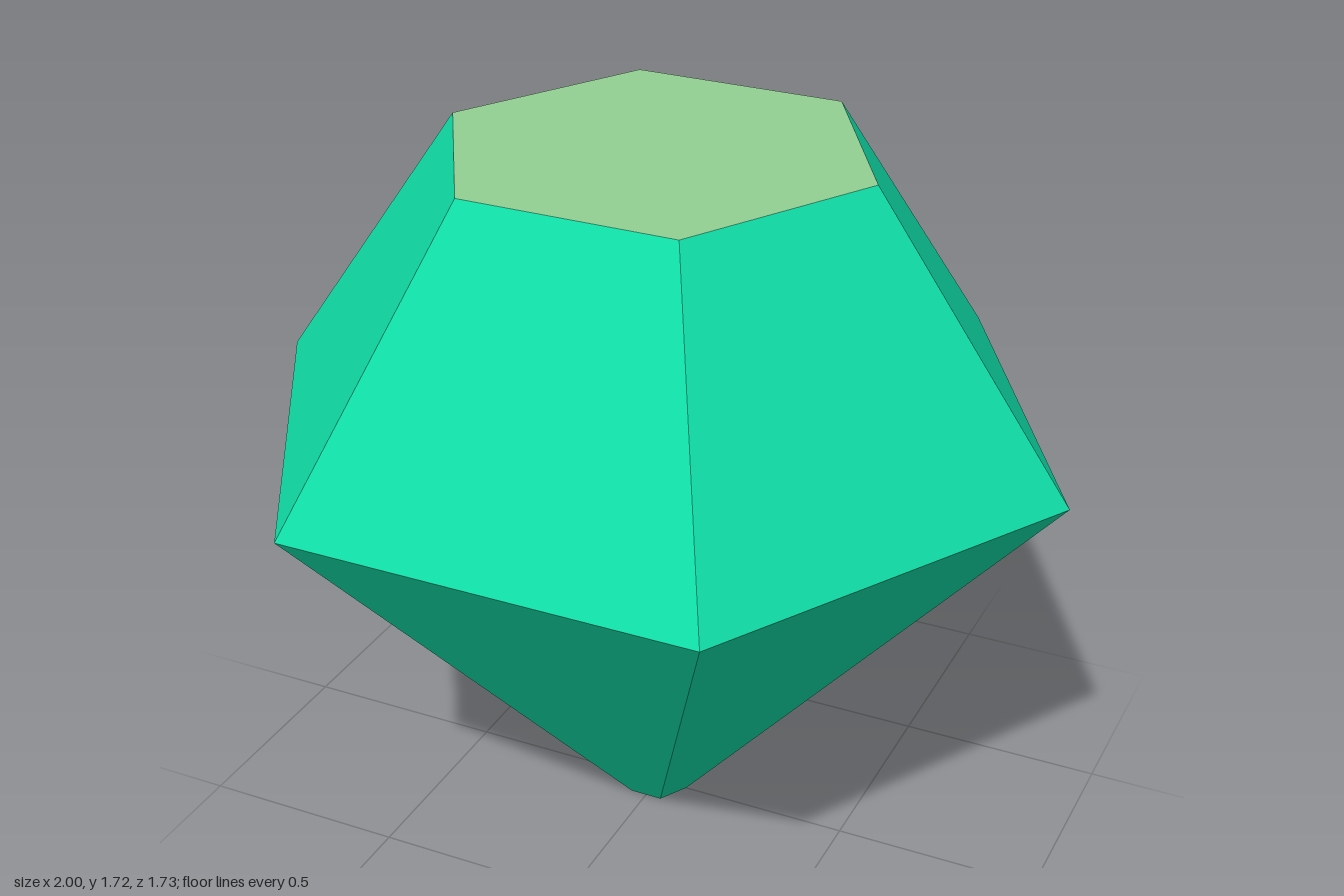
import * as THREE from 'three';

const SIDES = 6;
const TABLE_Y = 1.72, GIRDLE_Y = 1.04;
const TABLE_R = 0.52, GIRDLE_R = 1, CULET_R = 0.08;

// Open six-sided frustum with flat facets and a corner on +x
function facetRing(topR, bottomR, y0, y1) {
  const ring = new THREE.CylinderGeometry(topR, bottomR, y1 - y0, SIDES, 1, true, Math.PI / 2);
  ring.translate(0, (y0 + y1) / 2, 0);
  const flat = ring.toNonIndexed();
  flat.computeVertexNormals();
  return flat;
}

// Flat hexagon facing up or down
function hexCap(radius, y, up) {
  const cap = new THREE.CircleGeometry(radius, SIDES);
  cap.rotateX(up ? -Math.PI / 2 : Math.PI / 2);
  cap.translate(0, y, 0);
  return cap;
}

export function createModel() {
  const emerald = new THREE.MeshStandardMaterial({ color: 0x10dfa8 });
  emerald.name = 'emerald green';
  const paleGreen = new THREE.MeshStandardMaterial({ color: 0x92d092 });
  paleGreen.name = 'pale green';

  const gem = new THREE.Group();
  gem.name = 'gem';
  const add = (name, geometry, material) => {
    const mesh = new THREE.Mesh(geometry, material);
    mesh.name = name;
    gem.add(mesh);
  };

  // Upper facets, lower facets and the two flat ends
  add('crown', facetRing(TABLE_R, GIRDLE_R, GIRDLE_Y, TABLE_Y), emerald);
  add('pavilion', facetRing(GIRDLE_R, CULET_R, 0, GIRDLE_Y), emerald);
  add('table', hexCap(TABLE_R, TABLE_Y, true), paleGreen);
  add('culet', hexCap(CULET_R, 0, false), emerald);

  return gem;
}
